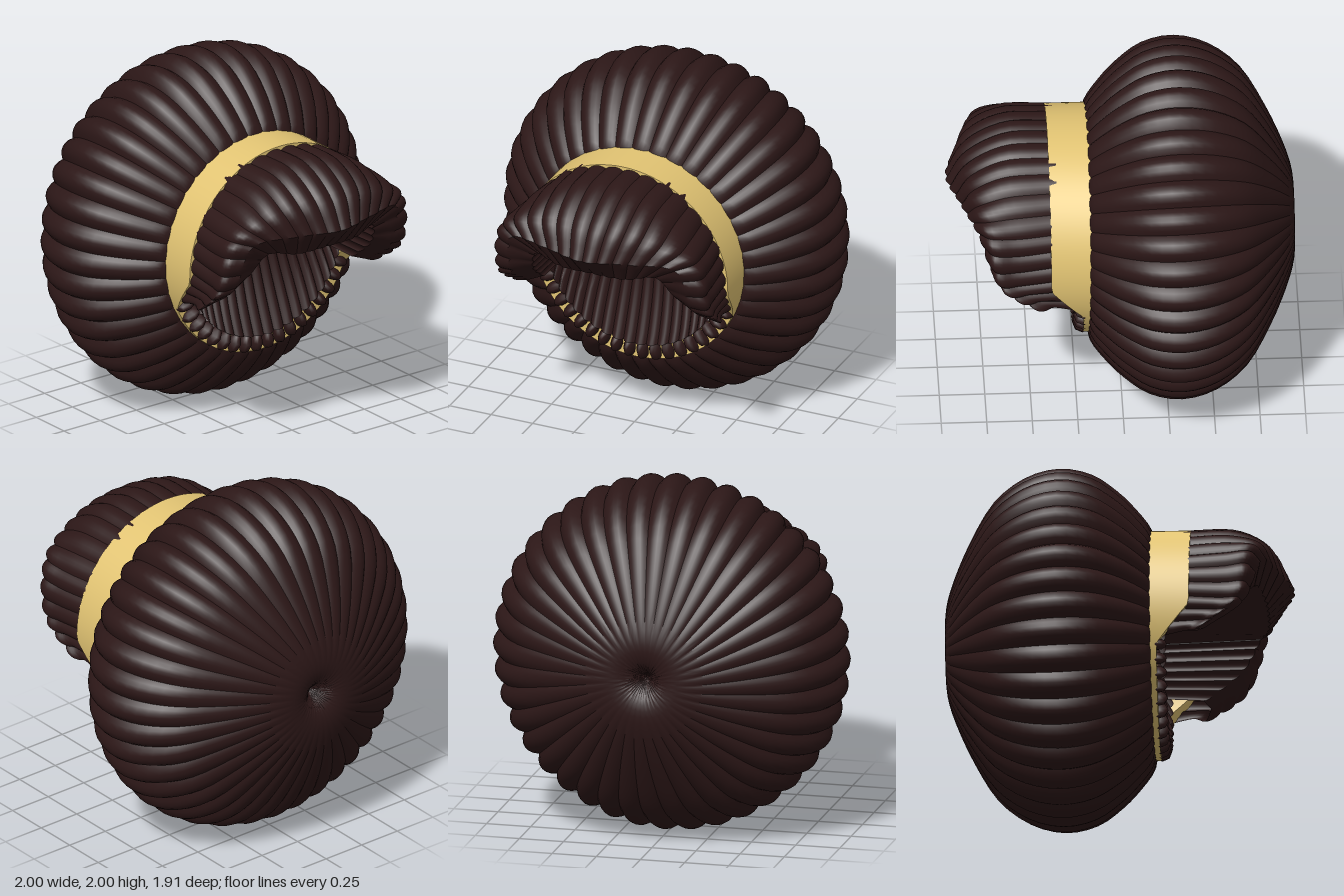
import * as THREE from 'three';
import { toCreasedNormals } from 'three/addons/utils/BufferGeometryUtils.js';

const RIBS = 40;
const CY = 1.02; // height of the axis of the band
const hair = new THREE.MeshStandardMaterial({ color: 0x2c1717, side: THREE.DoubleSide });
const gold = new THREE.MeshStandardMaterial({ color: 0xe2c473, side: THREE.DoubleSide });

// Surface from a rule point(u, v), both 0..1
function surface(name, point, nu, nv, material, crease = 0.6) {
  const pos = [], index = [];
  for (let j = 0; j <= nv; j++)
    for (let i = 0; i <= nu; i++) pos.push(...point(i / nu, j / nv));
  for (let j = 0; j < nv; j++)
    for (let i = 0; i < nu; i++) {
      const a = j * (nu + 1) + i, b = a + nu + 1;
      index.push(a, a + 1, b + 1, a, b + 1, b);
    }
  const geo = new THREE.BufferGeometry();
  geo.setAttribute('position', new THREE.Float32BufferAttribute(pos, 3));
  geo.setIndex(index);
  const mesh = new THREE.Mesh(toCreasedNormals(geo, crease), material);
  mesh.name = name;
  return mesh;
}

// Rounded strand section: 1 on the crest, 1 - depth in the sharp valley
const rib = (t, depth) => 1 - depth * (1 - Math.pow(Math.abs(Math.sin(Math.PI * t)), 0.8));

// Big ribbed bun around the z axis, with a swirled dimple at the back
function bun() {
  const profile = new THREE.SplineCurve([
    [0.005, -0.84], [0.06, -0.91], [0.14, -0.95], [0.25, -0.95], [0.4, -0.905], [0.61, -0.81],
    [0.82, -0.68], [0.95, -0.51], [1, -0.32], [0.965, -0.14], [0.87, 0], [0.77, 0.1],
    [0.66, 0.18], [0.55, 0.19],
  ].map(([r, z]) => new THREE.Vector2(r, z)));
  return surface('bun', (u, v) => {
    const p = profile.getPoint(v);
    const a = u * Math.PI * 2 + 0.35 * Math.pow(1 - v, 4);
    const r = p.x * rib(u * RIBS + 0.5, 0.045);
    return [r * Math.cos(a), 1 + r * Math.sin(a), p.y];
  }, RIBS * 6, 39, hair);
}

// Gold band, cut back along its lower front
function band() {
  const section = [[0.63, 0], [0.63, 1], [0.54, 1], [0.54, 0]];
  return surface('band', (u, v) => {
    const a = u * Math.PI * 2;
    const [r, k] = section[Math.round(v * 3)];
    const front = 0.22 + 0.18 * THREE.MathUtils.clamp((Math.sin(a) + 0.4) / 0.35, 0, 1);
    return [r * Math.cos(a), CY + r * Math.sin(a), THREE.MathUtils.lerp(0.12, front, k)];
  }, 96, 3, gold, 0.9);
}

// Hood of hair curling forward from the band; each row is one strand path
// from the band over the front to the lip, under it and back inside
function hood() {
  const rows = [
    [[0.59, 0.81, 0.27], [0.59, 0.835, 0.38], [0.54, 0.87, 0.48], [0.47, 0.89, 0.44], [0.46, 0.9, 0.2]],
    [[0.62, 1.04, 0.36], [0.63, 1.02, 0.58], [0.55, 1.03, 0.7], [0.43, 1.06, 0.66], [0.42, 1.05, 0.2]],
    [[0.55, 1.32, 0.36], [0.585, 1.32, 0.6], [0.5, 1.3, 0.8], [0.36, 1.21, 0.76], [0.38, 1.2, 0.2]],
    [[0.31, 1.57, 0.36], [0.32, 1.56, 0.66], [0.25, 1.33, 0.89], [0.2, 1.19, 0.81], [0.2, 1.2, 0.2]],
    [[0, 1.64, 0.36], [0, 1.635, 0.64], [0, 1.33, 0.96], [0, 1.19, 0.82], [0, 1.2, 0.2]],
  ];
  const mirrored = rows.slice(0, -1).reverse().map((pts) => pts.map(([x, y, z]) => [-x, y, z]));
  const columns = [0, 1, 2, 3, 4].map((k) => new THREE.CatmullRomCurve3(
    [...rows, ...mirrored].map((pts) => new THREE.Vector3(...pts[k]))));
  const centre = new THREE.Vector3(0, 1.1, 0.35);
  const nv = 20, cache = new Map();
  const strand = (u) => {
    if (!cache.has(u)) {
      const [p0, p1, p2, p3, p4] = columns.map((c) => c.getPoint(u));
      // bulge the front of the strand outward between crown and lip
      const bulge = p1.clone().lerp(p2, 0.55);
      bulge.add(bulge.clone().sub(centre).setLength(0.06));
      cache.set(u, [new THREE.CatmullRomCurve3([p0, p1, bulge, p2]), p2, p3, p4]);
    }
    return cache.get(u);
  };
  return surface('hood', (u, v) => {
    const [outer, lip, under, inside] = strand(u);
    const j = Math.round(v * nv);
    let p;
    if (j <= 14) p = outer.getPoint(j / 14);
    else if (j <= 17) p = lip.clone().lerp(under, (j - 14) / 3);
    else p = under.clone().lerp(inside, (j - 17) / 3);
    p.sub(centre).multiplyScalar(rib(u * 24, 0.03)).add(centre);
    return p.toArray();
  }, 24 * 6, nv, hair, 0.7);
}

// Ribbed hollow under the hood, its strands narrowing upward
function hollow() {
  const from = -172 * Math.PI / 180, sweep = 164 * Math.PI / 180;
  return surface('hollow', (u, v) => {
    const a = from + u * sweep;
    const t = v * 0.75;
    const x = 0.53 * Math.cos(a) * (1 - t * t);
    const y = THREE.MathUtils.lerp(CY + 0.53 * Math.sin(a), 1.6, t);
    const dip = 0.15 * Math.sin(Math.min(1, t * 1.8) * Math.PI / 2);
    return [x, y, 0.27 - dip - 0.025 * (1 - rib(u * 22, 1))];
  }, 22 * 6, 14, hair);
}

// Strand ends tucked over the lower edge of the band
function strandEnds() {
  const group = new THREE.Group();
  group.name = 'strandEnds';
  const geo = new THREE.SphereGeometry(1, 8, 6);
  for (let i = 0; i < 18; i++) {
    const a = (-156 + i * 132 / 17) * Math.PI / 180;
    const end = new THREE.Mesh(geo, hair);
    end.name = 'strandEnd';
    end.position.set(0.575 * Math.cos(a), CY + 0.575 * Math.sin(a), 0.22);
    end.scale.set(0.06, 0.033, 0.055);
    end.rotation.z = a;
    group.add(end);
  }
  return group;
}

export function createModel() {
  const model = new THREE.Group();
  model.name = 'hairBun';
  model.add(bun(), band(), hood(), hollow(), strandEnds());
  return model;
}
